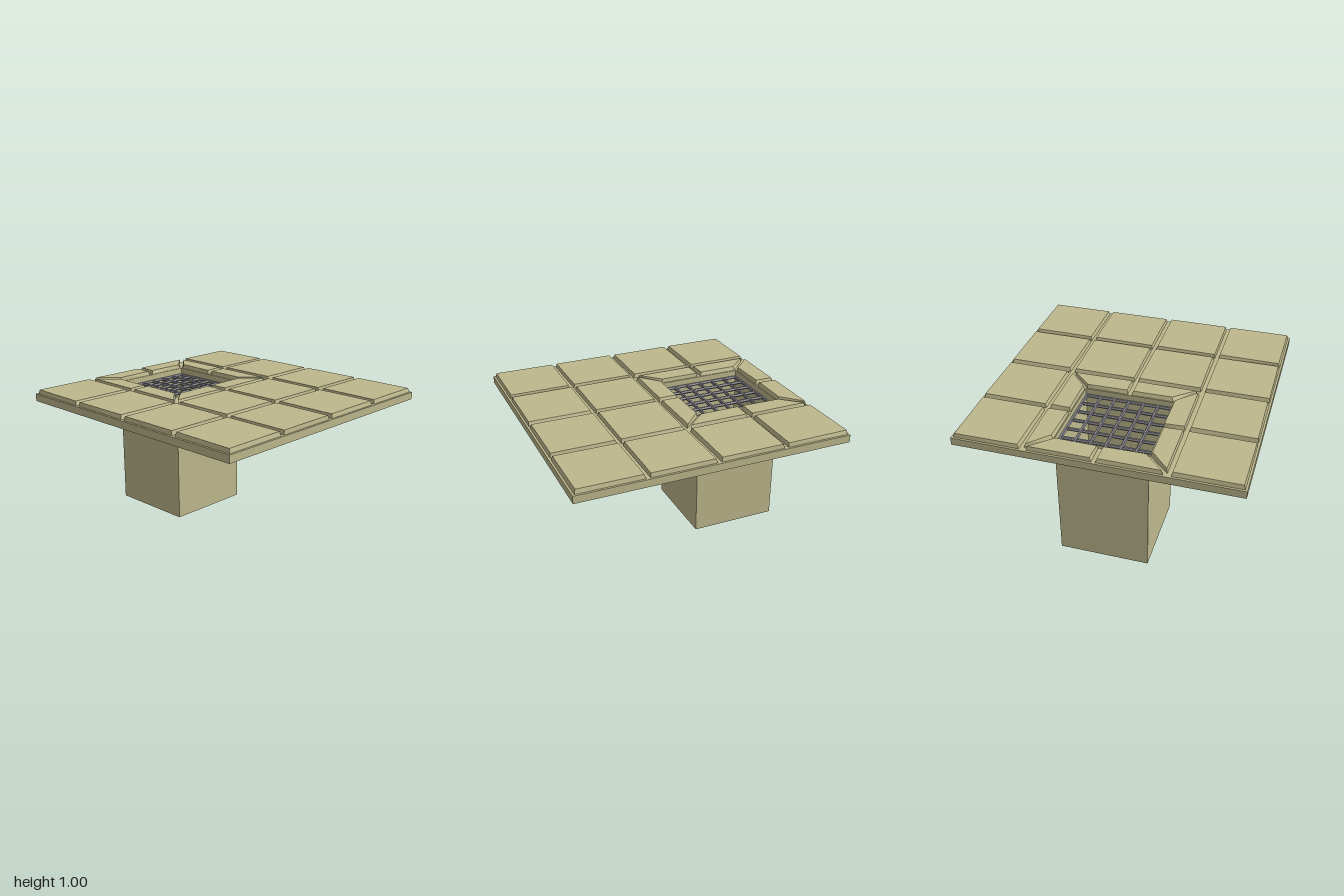
import * as THREE from 'three';
import { ConvexGeometry } from 'three/addons/geometries/ConvexGeometry.js';

const SLAB_BOTTOM = 0.912, SLAB_TOP = 0.967, TILE_TOP = 0.998;
const DRAIN_X = -0.5, HOLE = 0.33;

export function createModel() {
  const model = new THREE.Group();
  model.name = 'drainFloor';

  const stone = new THREE.MeshStandardMaterial({ color: 0xbdb88c });
  stone.name = 'sandStone';
  const shaftStone = stone.clone();
  shaftStone.side = THREE.DoubleSide;
  const metal = new THREE.MeshStandardMaterial({ color: 0x85858d });
  metal.name = 'greyMetal';

  const add = (name, geometry, material, parent = model) => {
    const mesh = new THREE.Mesh(geometry, material);
    mesh.name = name;
    parent.add(mesh);
    return mesh;
  };

  // Small seeded generator for the uneven tile edges
  let seed = 7;
  const random = () => (seed = (seed * 16807) % 2147483647) / 2147483647;

  // Slab with a square drain hole
  const square = (Type, cx, h) => new Type([
    new THREE.Vector2(cx - h, -h), new THREE.Vector2(cx + h, -h),
    new THREE.Vector2(cx + h, h), new THREE.Vector2(cx - h, h),
  ]);
  const slabShape = square(THREE.Shape, 0, 1);
  slabShape.holes.push(square(THREE.Path, DRAIN_X, HOLE));
  const slab = new THREE.ExtrudeGeometry(slabShape, { depth: SLAB_TOP - SLAB_BOTTOM, bevelEnabled: false });
  slab.rotateX(-Math.PI / 2).translate(0, SLAB_BOTTOM, 0);
  add('slab', slab, stone);

  // Tile: four [x, z] corners on the slab, with a slightly smaller uneven top
  const tiles = new THREE.Group();
  tiles.name = 'tiles';
  model.add(tiles);
  const addTile = (name, corners) => {
    const cx = corners.reduce((s, c) => s + c[0], 0) / 4;
    const cz = corners.reduce((s, c) => s + c[1], 0) / 4;
    const points = [];
    for (const [x, z] of corners) {
      points.push(new THREE.Vector3(x, SLAB_TOP, z));
      points.push(new THREE.Vector3(
        x + Math.sign(cx - x) * (0.003 + 0.008 * random()), TILE_TOP,
        z + Math.sign(cz - z) * (0.003 + 0.008 * random())));
    }
    add(name, new ConvexGeometry(points), stone, tiles);
  };

  // Square tiles, skipping the four cells around the drain
  for (let i = 0; i < 4; i++) {
    for (let j = 0; j < 4; j++) {
      if (i < 2 && (j === 1 || j === 2)) continue;
      const x0 = -1 + i * 0.5 + 0.015, z0 = -1 + j * 0.5 + 0.015;
      const x1 = x0 + 0.47, z1 = z0 + 0.47;
      addTile('squareTile', [[x0, z0], [x1, z0], [x1, z1], [x0, z1]]);
    }
  }

  // Mitred border tiles: two mirrored pieces on each side of the drain
  for (let side = 0; side < 4; side++) {
    const c = Math.round(Math.cos(side * Math.PI / 2)), s = Math.round(Math.sin(side * Math.PI / 2));
    for (const m of [-1, 1]) {
      const outline = [[0.015, 0.337], [0.322, 0.337], [0.463, 0.485], [0.015, 0.485]];
      addTile('borderTile', outline.map(([u, v]) => [DRAIN_X + c * u * m - s * v, s * u * m + c * v]));
    }
  }

  // Grate of crossing six-sided bars
  const grate = new THREE.Group();
  grate.name = 'grate';
  grate.position.set(DRAIN_X, SLAB_BOTTOM, 0);
  model.add(grate);
  const barZ = new THREE.CylinderGeometry(0.0125, 0.0125, 0.66, 6, 1, false, Math.PI / 6).toNonIndexed();
  barZ.rotateX(Math.PI / 2);
  barZ.computeVertexNormals();
  const barX = barZ.clone().rotateY(Math.PI / 2);
  for (let k = -3; k <= 3; k++) {
    add('lengthBar', barZ, metal, grate).position.x = k * 0.108;
    add('crossBar', barX, metal, grate).position.z = k * 0.108;
  }

  // Open square shaft below the grate
  const shaftHeight = 0.902;
  const r = 0.327 * Math.SQRT2;
  const shaft = new THREE.CylinderGeometry(r, r, shaftHeight, 4, 1, true, Math.PI / 4).toNonIndexed();
  shaft.computeVertexNormals();
  add('shaft', shaft, shaftStone).position.set(DRAIN_X, shaftHeight / 2, 0);

  return model;
}
